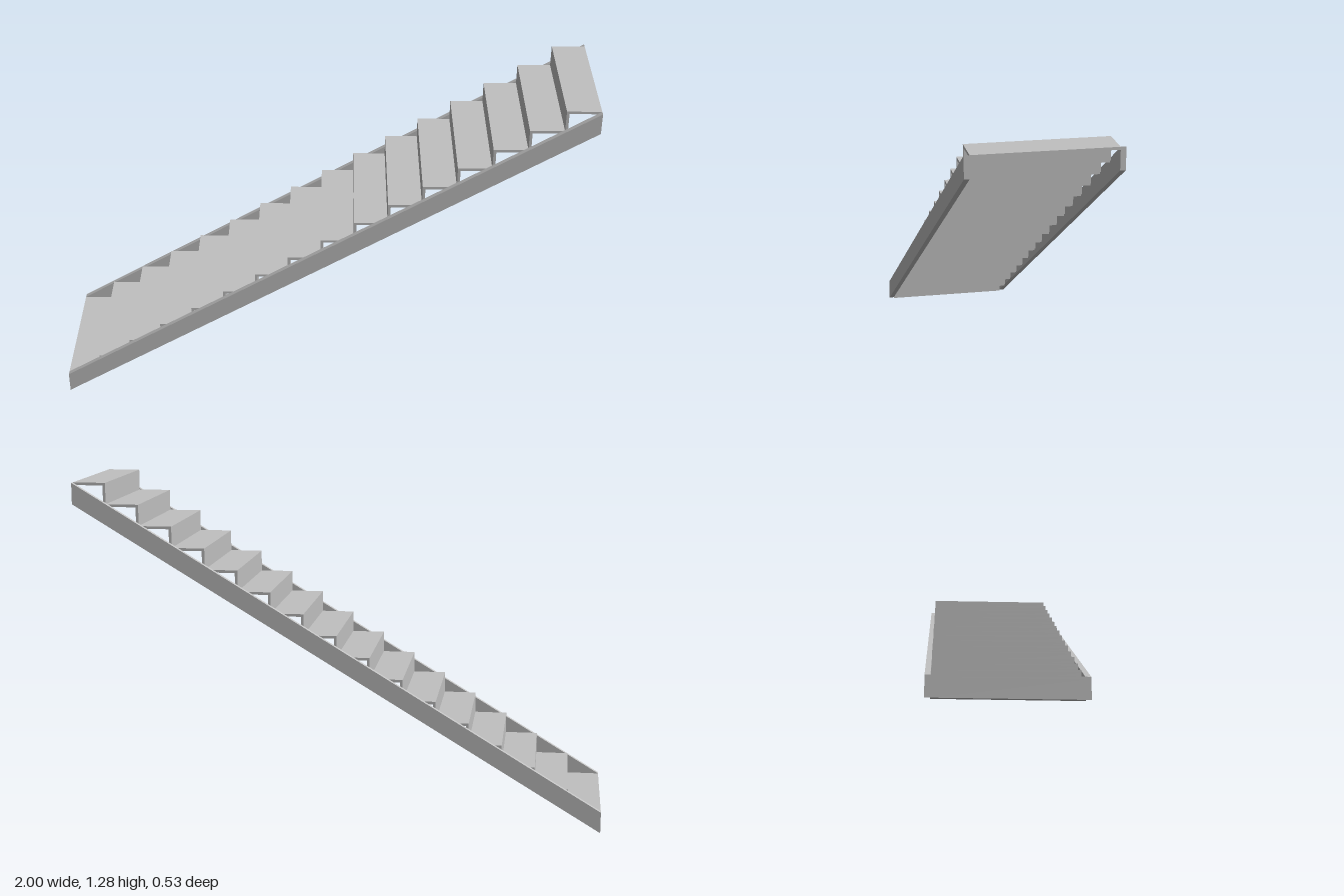
import * as THREE from 'three';

const STEPS = 16;
const RUN = 2 / STEPS;
const RISE = 1.285 / STEPS;
const THICK = 0.01;
const INNER = 0.247; // half width between the stringers
const OUTER = 0.266; // half width overall

export function createModel() {
  const grey = new THREE.MeshStandardMaterial({ color: 0xc0c0c0 });
  grey.name = 'light grey';
  const group = new THREE.Group();
  group.name = 'staircase';

  const add = (name, geometry, x, y, z) => {
    const mesh = new THREE.Mesh(geometry, grey);
    mesh.name = name;
    mesh.position.set(x, y, z);
    group.add(mesh);
  };

  // Thin treads, each with a riser under its front edge
  const tread = new THREE.BoxGeometry(RUN, THICK, INNER * 2);
  const riser = new THREE.BoxGeometry(THICK, RISE - THICK, INNER * 2);
  for (let i = 0; i < STEPS; i++) {
    const x = -1 + i * RUN;
    const y = i * RISE;
    add('tread' + (i + 1), tread, x + RUN / 2, y + RISE - THICK / 2, 0);
    add('riser' + (i + 1), riser, x + THICK / 2, y + (RISE - THICK) / 2, 0);
  }

  // Sloping side stringers with upright ends
  const top = STEPS * RISE;
  const profile = new THREE.Shape([
    new THREE.Vector2(-1, 0),
    new THREE.Vector2(1, top - RISE),
    new THREE.Vector2(1, top),
    new THREE.Vector2(-1, RISE),
  ]);
  const stringer = new THREE.ExtrudeGeometry(profile, { depth: OUTER - INNER, bevelEnabled: false });
  add('frontStringer', stringer, 0, 0, INNER);
  add('backStringer', stringer, 0, 0, -OUTER);

  return group;
}
